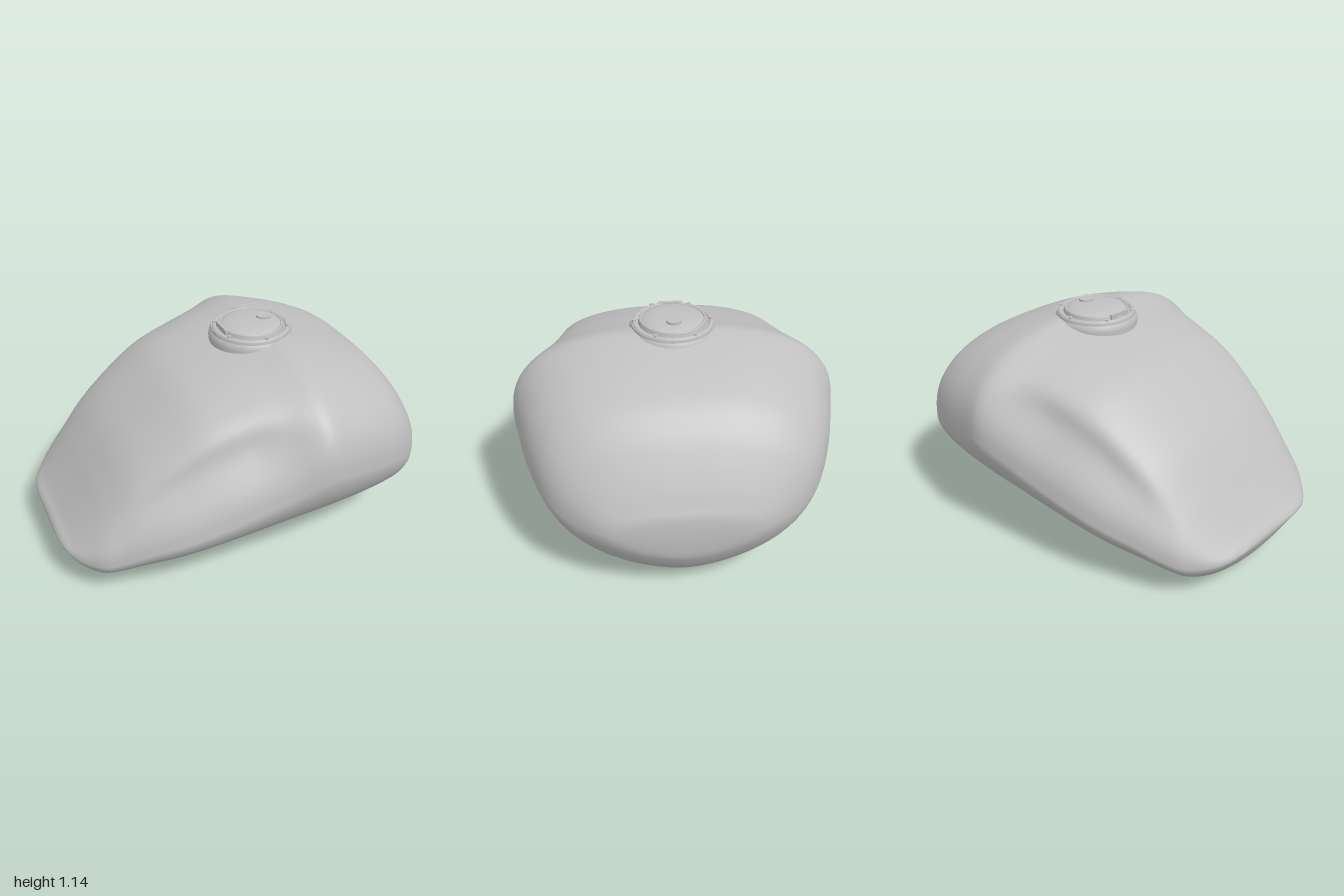
import * as THREE from 'three';

// x, top y, bottom y, half width, height of widest line
const STATIONS = [
  [-1, .232, .208, .22, .22], [-.985, .255, .175, .315, .215], [-.95, .288, .11, .395, .21],
  [-.9, .35, .045, .46, .21], [-.84, .43, .008, .52, .22], [-.76, .54, .001, .565, .25],
  [-.64, .685, .008, .625, .31], [-.48, .82, .016, .69, .37], [-.3, .945, .024, .733, .43],
  [-.1, 1.013, .031, .767, .5], [.06, 1.05, .037, .793, .56], [.15, 1.073, .04, .812, .6],
  [.21, 1.086, .043, .82, .62], [.27, 1.086, .045, .815, .62], [.38, 1.063, .047, .79, .6],
  [.54, 1.015, .055, .75, .57], [.7, .945, .062, .69, .53], [.8, .855, .07, .63, .49],
  [.87, .755, .105, .56, .46], [.93, .65, .175, .47, .44], [.97, .565, .24, .39, .43],
  [.99, .52, .285, .31, .42], [.998, .47, .34, .2, .41], [1, .43, .39, .07, .41],
];

const smooth = THREE.MathUtils.smoothstep;
const spow = (v, p) => Math.sign(v) * Math.pow(Math.abs(v), p);

// Tank shell: superellipse sections lofted along x, with a knee recess on each side
function tankGeometry() {
  const curve = (f) => new THREE.CatmullRomCurve3(
    STATIONS.map((s) => new THREE.Vector3(...f(s))), false, 'catmullrom', 0.5);
  const heights = curve((s) => [s[0], s[1], s[2]]);
  const widths = curve((s) => [s[3], s[4], 0]);
  const rows = 138, cols = 144;
  const pos = [], index = [];
  for (let i = 0; i <= rows; i++) {
    const { x, y: top, z: bottom } = heights.getPoint(i / rows);
    const { x: w, y: mid } = widths.getPoint(i / rows);
    const recess = 0.085 * smooth(x, -0.92, -0.4) * (1 - smooth(x, -0.12, 0.25));
    for (let j = 0; j < cols; j++) {
      const a = (j / cols) * Math.PI * 2;
      const c = Math.cos(a), s = Math.sin(a);
      const up = s >= 0;
      const p = 2 / (up ? 2.6 : 1.7);
      const y = mid + spow(s, p) * (up ? top - mid : mid - bottom);
      let z = w * spow(c, p);
      const t = Math.atan2(s, Math.abs(c));
      z -= Math.sign(c) * recess * Math.exp(-(((t - 0.44) / 0.29) ** 2));
      pos.push(x, y, z);
    }
  }
  for (let i = 0; i < rows; i++) {
    for (let j = 0; j < cols; j++) {
      const k = (j + 1) % cols;
      const a = i * cols + j, b = i * cols + k, c = a + cols, d = b + cols;
      index.push(a, c, b, b, c, d);
    }
  }
  // End caps
  [[0, -1, .22], [rows, 1, .41]].forEach(([row, x, y]) => {
    const centre = pos.length / 3;
    pos.push(x, y, 0);
    for (let j = 0; j < cols; j++) {
      const a = row * cols + j, b = row * cols + (j + 1) % cols;
      if (row) index.push(centre, b, a);
      else index.push(centre, a, b);
    }
  });
  const g = new THREE.BufferGeometry();
  g.setAttribute('position', new THREE.Float32BufferAttribute(pos, 3));
  g.setIndex(index);
  g.computeVertexNormals();
  return g;
}

export function createModel() {
  const model = new THREE.Group();
  model.name = 'fuelTank';
  const metal = new THREE.MeshStandardMaterial({ color: 0xc0c0c0 });
  metal.name = 'grey metal';

  const add = (parent, name, geometry, x = 0, y = 0, z = 0) => {
    const mesh = new THREE.Mesh(geometry, metal);
    mesh.name = name;
    mesh.position.set(x, y, z);
    parent.add(mesh);
  };
  const lathe = (pts) => new THREE.LatheGeometry(pts.map((p) => new THREE.Vector2(...p)), 64);

  add(model, 'tankShell', tankGeometry());

  // Filler cap
  const cap = new THREE.Group();
  cap.name = 'fillerCap';
  cap.position.set(0.17, 0, 0);
  model.add(cap);
  add(cap, 'fillerNeck', lathe([[.218, 1.0], [.22, 1.05], [.216, 1.072], [.205, 1.084]]));
  add(cap, 'flangeSide', new THREE.CylinderGeometry(.205, .208, .02, 64), 0, 1.085);
  add(cap, 'flangeRing', new THREE.TorusGeometry(.19, .012, 10, 64).rotateX(Math.PI / 2), 0, 1.092);
  add(cap, 'lidRim', new THREE.CylinderGeometry(.168, .174, .026, 64), 0, 1.1);
  add(cap, 'lidEdge', new THREE.TorusGeometry(.161, .007, 8, 64).rotateX(Math.PI / 2), 0, 1.112);
  add(cap, 'lidDome', lathe([[.155, 1.112], [.14, 1.121], [.11, 1.128], [.06, 1.132], [0, 1.133]]));
  add(cap, 'lockDisc', new THREE.CylinderGeometry(.038, .038, .016, 32), .072, 1.133);
  add(cap, 'hinge', new THREE.BoxGeometry(.018, .026, .12), -.16, 1.109);
  // Screws around the flange
  for (let i = 0; i < 6; i++) {
    const a = ((i + 0.5) / 6) * Math.PI * 2;
    add(cap, 'flangeScrew', new THREE.CylinderGeometry(.009, .009, .012, 12),
      Math.cos(a) * .19, 1.105, Math.sin(a) * .19);
  }
  return model;
}
